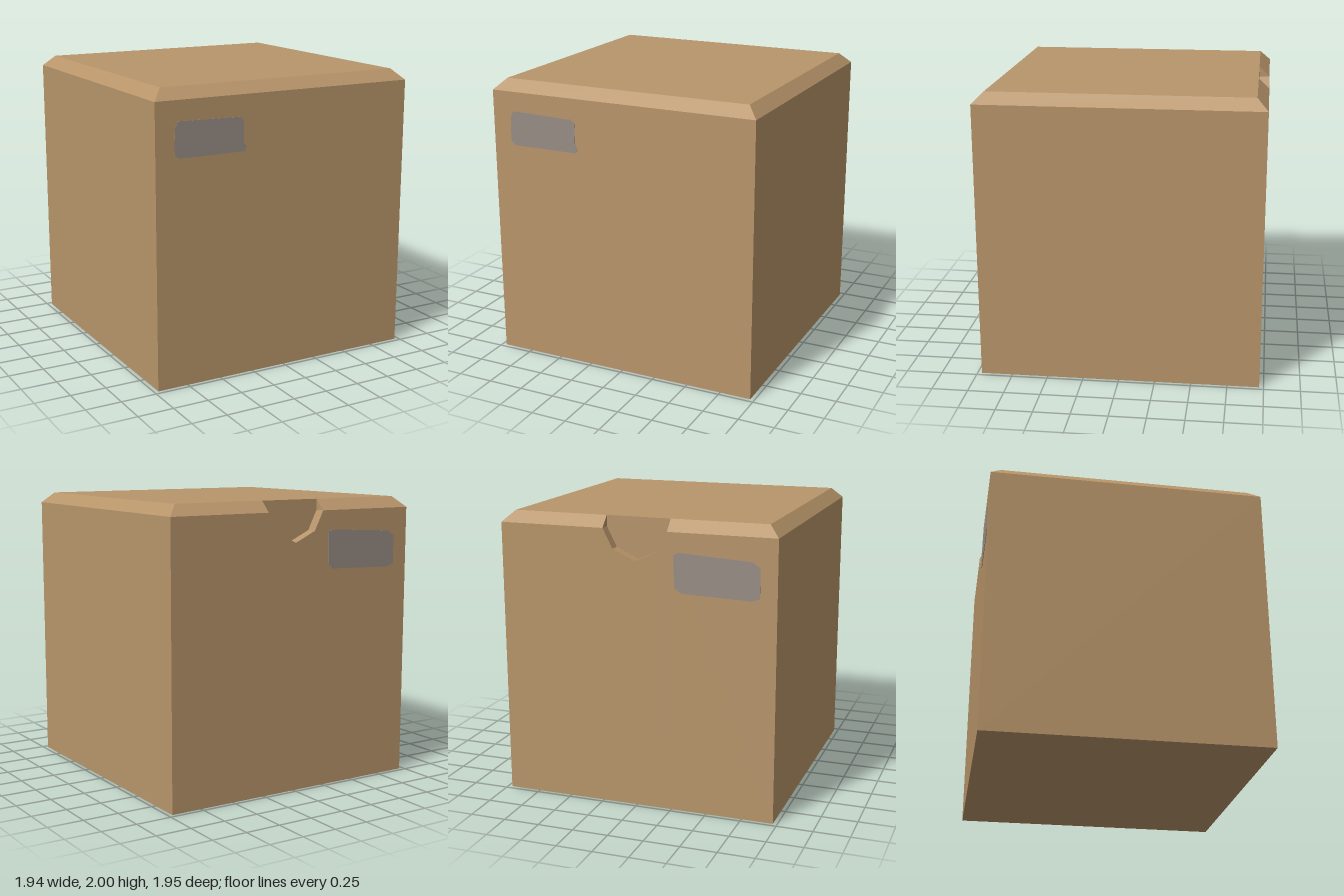
import * as THREE from 'three';

const W = 0.97;      // half width of the box
const T = 0.895;     // half width of the top panel
const E = 1.925;     // height where the bevel starts
const H = 2;         // full height

// Thumb notch outline, from +x to -x
const NOTCH = [[0.225, E], [0.157, 1.79], [0, 1.717], [-0.157, 1.79], [-0.225, E]];

// Builds a geometry from convex faces; each face is [corners, outward direction]
function fromFaces(faces) {
  const pos = [];
  for (const [corners, out] of faces) {
    const p = corners.map((c) => new THREE.Vector3(...c));
    const n = p[1].clone().sub(p[0]).cross(p[2].clone().sub(p[0]));
    if (n.dot(new THREE.Vector3(...out)) < 0) p.reverse();
    for (let i = 1; i < p.length - 1; i++) {
      for (const v of [p[0], p[i], p[i + 1]]) pos.push(v.x, v.y, v.z);
    }
  }
  const g = new THREE.BufferGeometry();
  g.setAttribute('position', new THREE.Float32BufferAttribute(pos, 3));
  g.computeVertexNormals();
  return g;
}

// Thin rounded sticker from a front outline
function stickerGeometry(points) {
  const shape = new THREE.Shape(points.map(([x, y]) => new THREE.Vector2(x, y)));
  return new THREE.ExtrudeGeometry(shape, { depth: 0.003, bevelEnabled: false });
}

export function createModel() {
  const cardboard = new THREE.MeshStandardMaterial({ color: 0xb8956a });
  cardboard.name = 'cardboard';
  const label = new THREE.MeshStandardMaterial({ color: 0x988d85 });
  label.name = 'labelGrey';

  const group = new THREE.Group();
  group.name = 'cardboardBox';
  const add = (name, geometry, material) => {
    const mesh = new THREE.Mesh(geometry, material);
    mesh.name = name;
    group.add(mesh);
    return mesh;
  };

  // Plain walls, top and bottom
  const walls = [
    [[[-W, 0, W], [W, 0, W], [W, E, W], [-W, E, W]], [0, 0, 1]],
    [[[-W, 0, -W], [W, 0, -W], [W, 0, W], [-W, 0, W]], [0, -1, 0]],
    [[[-T, H, -T], [T, H, -T], [T, H, T], [-T, H, T]], [0, 1, 0]],
  ];
  for (const s of [-1, 1]) {
    walls.push([[[s * W, 0, -W], [s * W, 0, W], [s * W, E, W], [s * W, E, -W]], [s, 0, 0]]);
  }

  // Back wall, in columns that reach up to the notch
  const backTop = [[W, E], ...NOTCH, [-W, E]];
  for (let i = 0; i < backTop.length - 1; i++) {
    const [a, b] = [backTop[i], backTop[i + 1]];
    walls.push([[[a[0], 0, -W], [a[0], a[1], -W], [b[0], b[1], -W], [b[0], 0, -W]], [0, 0, -1]]);
  }
  add('walls', fromFaces(walls), cardboard);

  // Bevelled top edges; the back one is interrupted by the notch
  const n = NOTCH[0][0];
  const bevels = [[[[-W, E, W], [W, E, W], [T, H, T], [-T, H, T]], [0, 1, 1]]];
  for (const s of [-1, 1]) {
    bevels.push([[[s * W, E, -W], [s * W, E, W], [s * T, H, T], [s * T, H, -T]], [s, 1, 0]]);
    bevels.push([[[s * W, E, -W], [s * n, E, -W], [s * n, H, -T], [s * T, H, -T]], [0, 1, -1]]);
  }
  add('bevelledEdges', fromFaces(bevels), cardboard);

  // Thumb notch: rim, side cheeks and inner panel
  const notch = [];
  for (let i = 0; i < NOTCH.length - 1; i++) {
    const [a, b] = [NOTCH[i], NOTCH[i + 1]];
    notch.push([[[...a, -W], [...b, -W], [...b, -T], [...a, -T]], [-(a[0] + b[0]), 1, 0]]);
  }
  for (const s of [-1, 1]) {
    notch.push([[[s * n, E, -W], [s * n, E, -T], [s * n, H, -T]], [-s, 0, 0]]);
  }
  notch.push([[[n, H, -T], ...NOTCH.map((p) => [...p, -T]), [-n, H, -T]], [0, 0, -1]]);
  add('thumbNotch', fromFaces(notch), cardboard);

  // Worn stickers on the front and back
  add('frontLabel', stickerGeometry([
    [-0.8, 1.55], [-0.325, 1.55], [-0.31, 1.58], [-0.33, 1.61], [-0.33, 1.755],
    [-0.36, 1.78], [-0.81, 1.79], [-0.83, 1.75], [-0.835, 1.66], [-0.835, 1.575],
  ]), label).position.z = W;
  add('backLabel', stickerGeometry([
    [-0.8, 1.51], [-0.32, 1.525], [-0.275, 1.56], [-0.27, 1.78], [-0.31, 1.793],
    [-0.8, 1.765], [-0.855, 1.73], [-0.855, 1.53],
  ]), label).position.z = -W - 0.003;

  return group;
}
